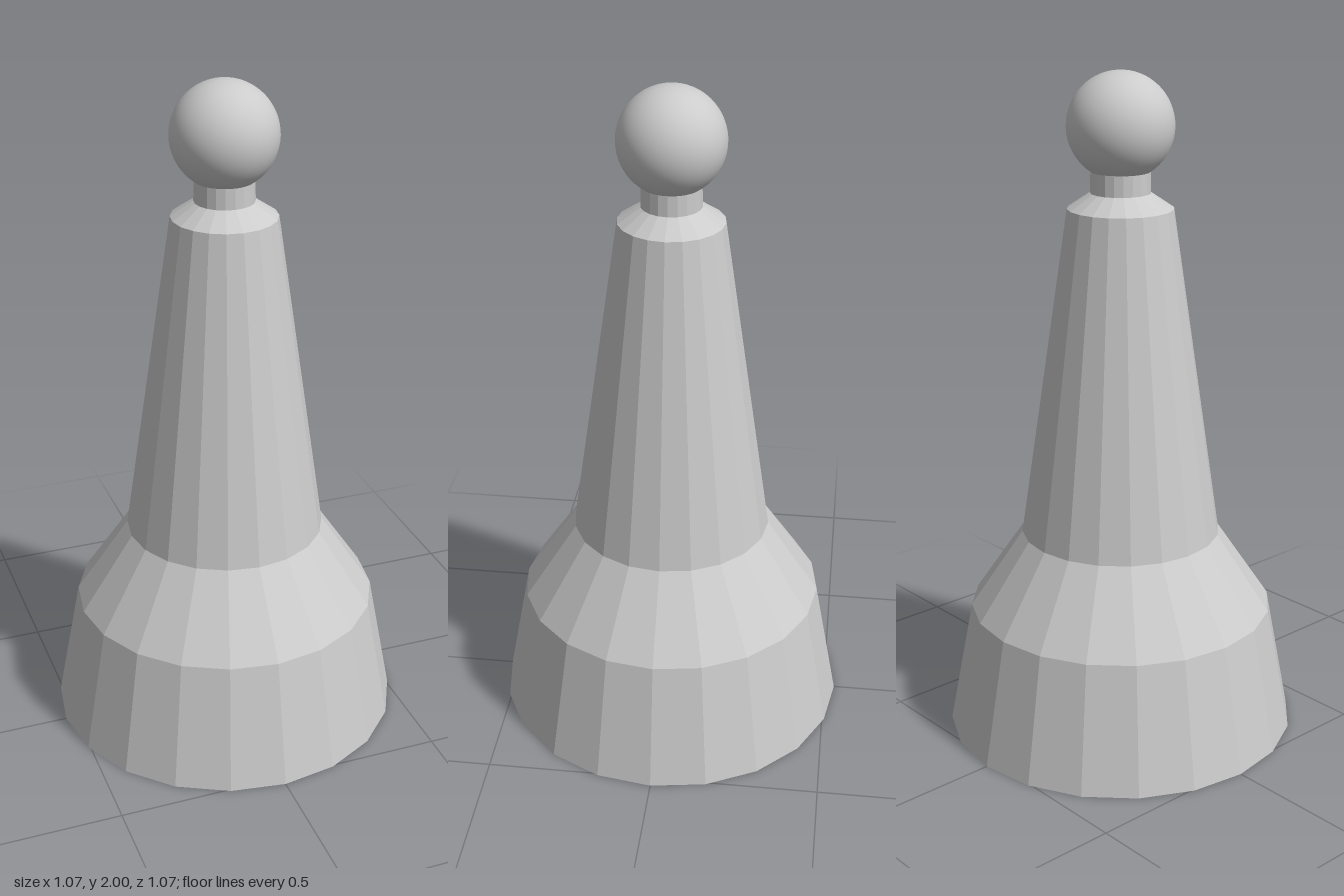
import * as THREE from 'three';

const SIDES = 20;

export function createModel() {
  const group = new THREE.Group();
  const faceted = new THREE.MeshStandardMaterial({ color: 0xcccccc, flatShading: true });
  const smooth = new THREE.MeshStandardMaterial({ color: 0xcccccc });

  // Turned part from a bottom-to-top profile of [radius, height]
  const turned = (name, profile) => {
    const points = profile.map(([r, y]) => new THREE.Vector2(r, y));
    const mesh = new THREE.Mesh(new THREE.LatheGeometry(points, SIDES), faceted);
    mesh.name = name;
    group.add(mesh);
  };

  // Closed foot, sloped shoulder, tapering shaft and bevelled collar
  turned('body', [
    [0, 0], [0.533, 0], [0.46, 0.385], [0.3, 0.622],
    [0.155, 1.61], [0.088, 1.655],
  ]);

  // Short neck reaching into the ball
  turned('neck', [[0.088, 1.655], [0.086, 1.735]]);

  // Smooth ball on top
  const ball = new THREE.Mesh(new THREE.SphereGeometry(0.155, 48, 32), smooth);
  ball.name = 'ball';
  ball.position.y = 1.845;
  group.add(ball);

  return group;
}
